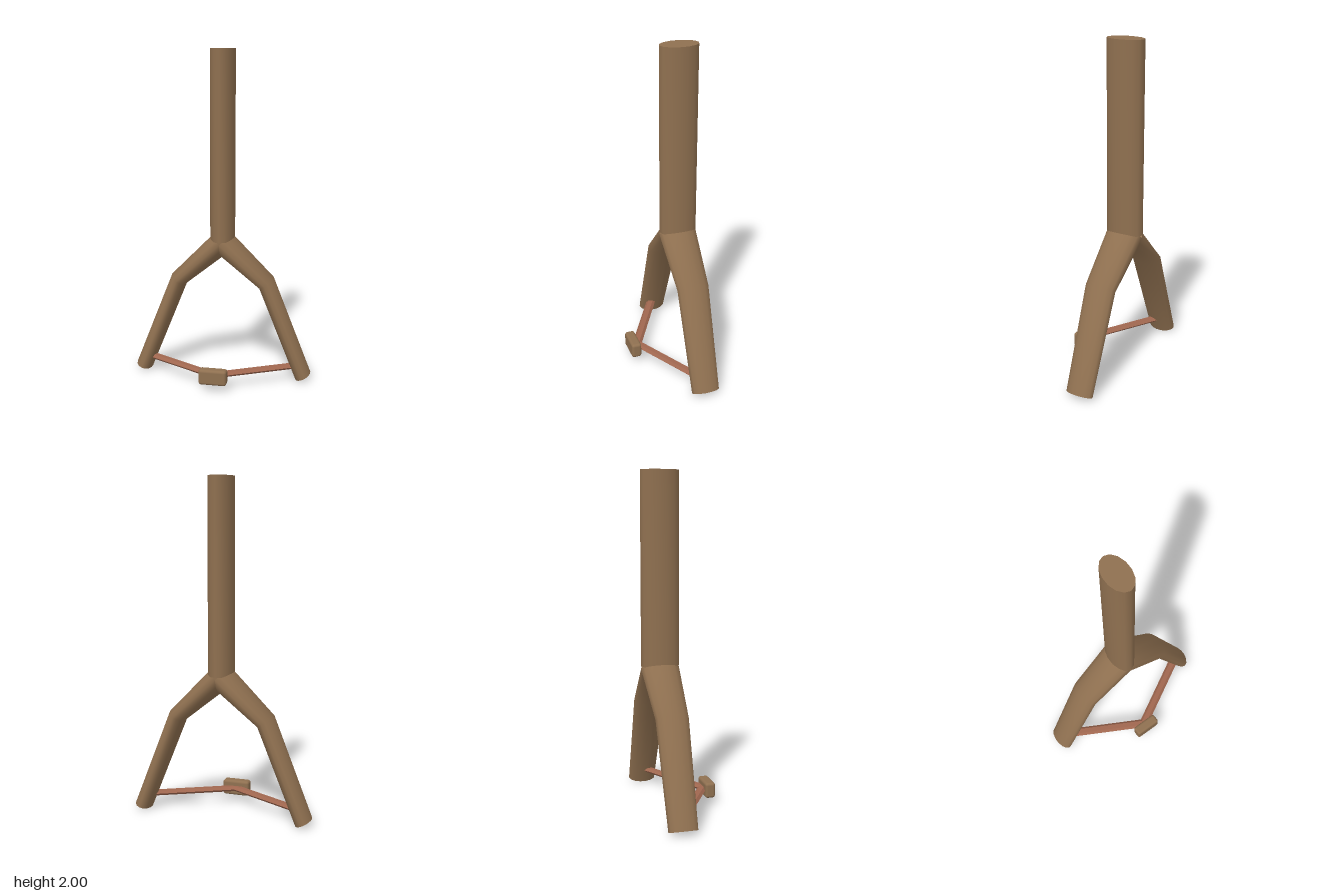
import * as THREE from 'three';
import { RoundedBoxGeometry } from 'three/addons/geometries/RoundedBoxGeometry.js';

const V = (x, y, z) => new THREE.Vector3(x, y, z);

// Capped tube through stations [centre, halfWidth across, halfWidth along axis].
function loft(stations, axis, sides, phase = 0) {
  const pos = [], idx = [], last = stations.length - 1;
  const rings = stations.map(([c, a, b], i) => {
    const d = V(0, 0, 0);
    if (i > 0) d.add(c.clone().sub(stations[i - 1][0]).normalize());
    if (i < last) d.add(stations[i + 1][0].clone().sub(c).normalize());
    const across = d.normalize().cross(axis);
    return Array.from({ length: sides }, (_, k) => {
      const t = phase + (k / sides) * Math.PI * 2;
      return c.clone().addScaledVector(across, a * Math.sin(t)).addScaledVector(axis, b * Math.cos(t));
    });
  });
  rings.forEach((r) => r.forEach((p) => pos.push(p.x, p.y, p.z)));
  for (let i = 0; i < last; i++) {
    for (let k = 0; k < sides; k++) {
      const a = i * sides + k, b = i * sides + ((k + 1) % sides);
      idx.push(a, b, a + sides, b, b + sides, a + sides);
    }
  }
  // End caps have their own vertices so their edges stay sharp
  for (const i of [0, last]) {
    const base = pos.length / 3;
    rings[i].forEach((p) => pos.push(p.x, p.y, p.z));
    for (let k = 1; k < sides - 1; k++) {
      if (i === 0) idx.push(base, base + k + 1, base + k);
      else idx.push(base, base + k, base + k + 1);
    }
  }
  const g = new THREE.BufferGeometry();
  g.setAttribute('position', new THREE.Float32BufferAttribute(pos, 3));
  g.setIndex(idx);
  g.computeVertexNormals();
  return g;
}

export function createModel() {
  const group = new THREE.Group();
  const wood = new THREE.MeshStandardMaterial({ color: 0x8f7050 });
  wood.name = 'wood';
  const rubber = new THREE.MeshStandardMaterial({ color: 0xa0674f });
  rubber.name = 'rubber';

  const add = (name, geometry, material) => {
    const mesh = new THREE.Mesh(geometry, material);
    mesh.name = name;
    group.add(mesh);
    return mesh;
  };

  const Z = -0.104;
  const zAxis = V(0, 0, 1);

  // Oval handle
  add('handle', loft([[V(0, 0.86, Z), 0.074, 0.116], [V(0, 2, Z), 0.074, 0.116]], zAxis, 14), wood);

  // Two bent, tapering fork arms
  for (const [name, s] of [['leftArm', 1], ['rightArm', -1]]) {
    add(name, loft([
      [V(0, 0.845, Z), 0.074, 0.116],
      [V(s * 0.272, 0.6, Z), 0.053, 0.098],
      [V(s * 0.505, 0.019, Z), 0.05, 0.086],
    ], zAxis, 14), wood);
  }

  // Six-sided rubber band running from arm to arm through the pouch
  const band = loft([
    [V(-0.47, 0.085, -0.095), 0.029, 0.017],
    [V(0, 0.085, 0.163), 0.033, 0.017],
    [V(0.47, 0.085, -0.095), 0.029, 0.017],
  ], V(0, 1, 0), 6, Math.PI / 2).toNonIndexed();
  band.computeVertexNormals();
  add('band', band, rubber);

  // Pouch
  add('pouch', new RoundedBoxGeometry(0.168, 0.094, 0.062, 3, 0.016), wood).position.set(0, 0.086, 0.189);

  return group;
}
